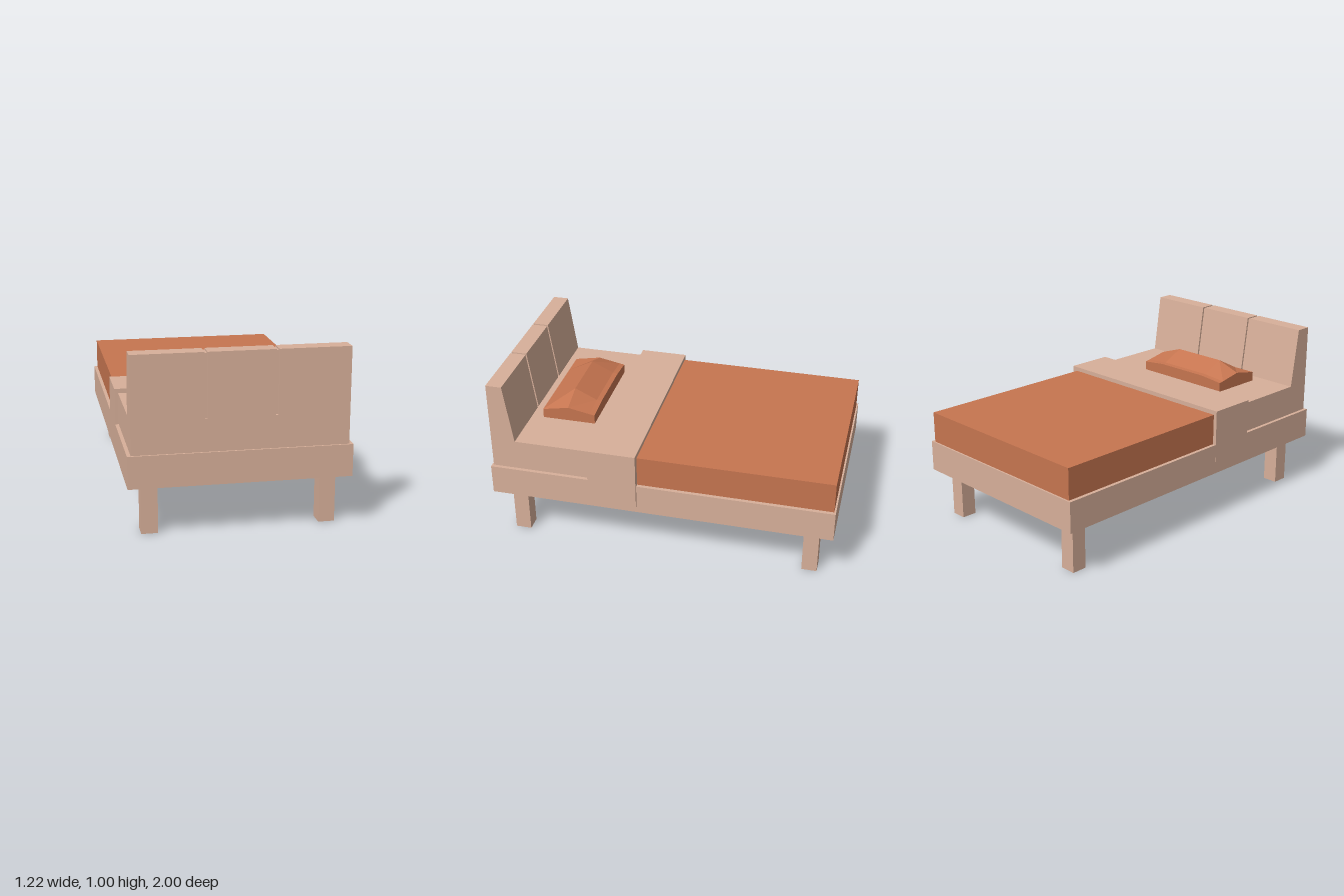
import * as THREE from 'three';

const linen = new THREE.MeshStandardMaterial({ color: 0xd8b09a, flatShading: true });
const orange = new THREE.MeshStandardMaterial({ color: 0xc67550, flatShading: true });

export function createModel() {
  const model = new THREE.Group();
  model.name = 'bed';

  const add = (name, geometry, material) => {
    const mesh = new THREE.Mesh(geometry, material);
    mesh.name = name;
    model.add(mesh);
    return mesh;
  };

  // Box given by its limits on each axis
  const box = (name, [x0, x1], [y0, y1], [z0, z1], material = linen) =>
    add(name, new THREE.BoxGeometry(x1 - x0, y1 - y0, z1 - z0), material)
      .position.set((x0 + x1) / 2, (y0 + y1) / 2, (z0 + z1) / 2);

  // Side profile of [z, y] points, extruded along x
  const sideExtrude = (name, points, x0, x1) => {
    const shape = new THREE.Shape(points.map(([z, y]) => new THREE.Vector2(-z, y)));
    const geometry = new THREE.ExtrudeGeometry(shape, { depth: x1 - x0, bevelEnabled: false });
    geometry.rotateY(Math.PI / 2).translate(x0, 0, 0);
    return add(name, geometry, linen);
  };

  // Frame and legs
  box('frame', [-0.61, 0.593], [0.287, 0.465], [-1, 1]);
  for (const [x0, x1] of [[-0.532, -0.442], [0.438, 0.528]]) {
    box('frontLeg', [x0, x1], [0, 0.287], [0.813, 0.905]);
    box('backLeg', [x0, x1], [0, 0.287], [-0.917, -0.829]);
  }

  // Bedding: cover, sheet and the folded band that hangs over the sides
  box('cover', [-0.59, 0.572], [0.465, 0.645], [-0.99, 0.2], orange);
  box('sheet', [-0.59, 0.572], [0.465, 0.645], [0.2, 0.99]);
  box('foldedBlanket', [-0.611, 0.608], [0.328, 0.67], [0.127, 0.41]);

  // Headboard: three sloped panels with recessed strips in the gaps
  const panel = [[0.99, 0.645], [0.99, 0.995], [0.897, 0.995], [0.847, 0.645]];
  const strip = [[0.979, 0.645], [0.979, 0.988], [0.908, 0.988], [0.859, 0.645]];
  for (const [x0, x1] of [[-0.59, -0.205], [-0.19, 0.17], [0.185, 0.572]])
    sideExtrude('headboardPanel', panel, x0, x1);
  for (const [x0, x1] of [[-0.205, -0.19], [0.17, 0.185]])
    sideExtrude('headboardStrip', strip, x0, x1);

  add('pillow', pillowGeometry(), orange);
  return model;
}

// Pillow lofted along x: low sections at the ends, a high ridge in the middle
function pillowGeometry() {
  const zs = [0.775, 0.775, 0.62, 0.49, 0.46, 0.46];
  const endY = [0.64, 0.70, 0.73, 0.705, 0.70, 0.64];
  const midY = [0.64, 0.70, 0.78, 0.718, 0.715, 0.64];
  const sections = [[-0.345, endY], [-0.2, midY], [0.135, midY], [0.28, endY]];
  const n = zs.length;
  const positions = [];
  const index = [];
  for (const [x, ys] of sections) zs.forEach((z, i) => positions.push(x, ys[i], z));
  for (let s = 0; s < sections.length - 1; s++) {
    for (let i = 0; i < n; i++) {
      const a = s * n + i, b = s * n + (i + 1) % n;
      index.push(a, a + n, b, b, a + n, b + n);
    }
  }
  const last = (sections.length - 1) * n;
  for (let i = 1; i < n - 1; i++) {
    index.push(0, i, i + 1);
    index.push(last, last + i + 1, last + i);
  }
  const geometry = new THREE.BufferGeometry();
  geometry.setAttribute('position', new THREE.Float32BufferAttribute(positions, 3));
  geometry.setIndex(index);
  const flat = geometry.toNonIndexed();
  flat.computeVertexNormals();
  return flat;
}
